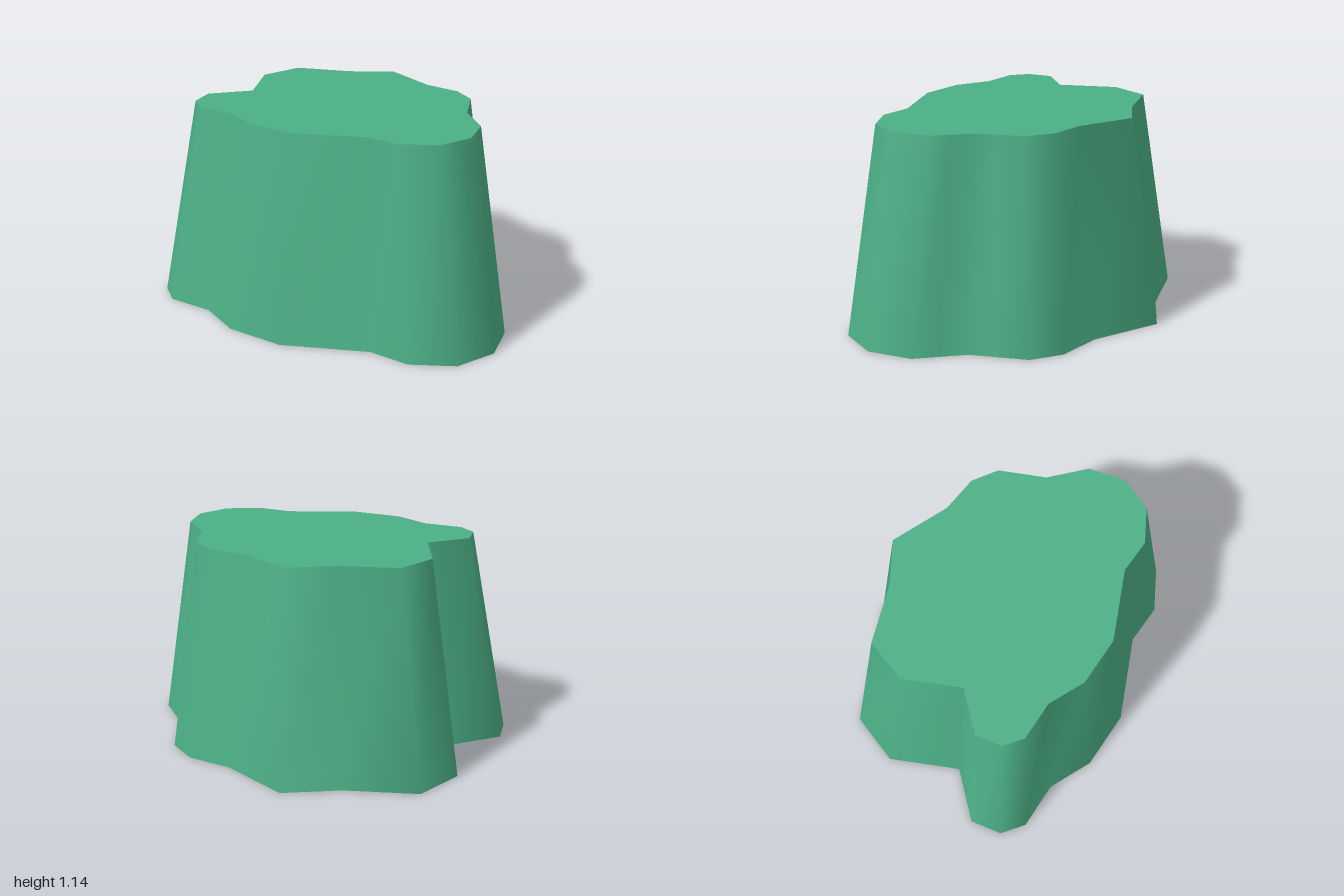
import * as THREE from 'three';
import { toCreasedNormals } from 'three/addons/utils/BufferGeometryUtils.js';

const HEIGHT = 1.14;
const TOP_SCALE = 0.8;

// Irregular footprint (x, z), running from the front around by the left side
const OUTLINE = [
  [-0.19, 0.775], [0.135, 0.71], [0.535, 0.425], [0.765, 0.385], [0.955, 0.22], [1.0, -0.02],
  [0.89, -0.245], [0.77, -0.32], [0.64, -0.4], [0.56, -0.51], [0.45, -0.66], [0.27, -0.73],
  [0.02, -0.7], [-0.39, -0.78], [-0.625, -0.56], [-0.965, -0.355], [-1.0, -0.055],
  [-0.755, 0.27], [-0.915, 0.54], [-0.845, 0.705], [-0.71, 0.77], [-0.45, 0.715],
];

export function createModel() {
  const group = new THREE.Group();
  group.name = 'taperedMound';

  const green = new THREE.MeshStandardMaterial({ color: 0x4cb086 });
  green.name = 'green';

  // Closed cylinder whose rim vertices are moved onto the footprint
  const n = OUTLINE.length;
  const geometry = new THREE.CylinderGeometry(1, 1, HEIGHT, n, 1);
  const pos = geometry.attributes.position;
  for (let i = 0; i < pos.count; i++) {
    const x = pos.getX(i), y = pos.getY(i), z = pos.getZ(i);
    if (Math.hypot(x, z) < 0.5) continue; // cap centres stay put
    const k = Math.round((Math.atan2(x, z) / (2 * Math.PI)) * n);
    const [px, pz] = OUTLINE[(k + n) % n];
    const s = y > 0 ? TOP_SCALE : 1;
    pos.setXYZ(i, px * s, y, pz * s);
  }
  geometry.translate(0, HEIGHT / 2, 0);

  // Rounded walls, sharp rims and notch
  const mound = new THREE.Mesh(toCreasedNormals(geometry, Math.PI / 3), green);
  mound.name = 'mound';
  group.add(mound);
  return group;
}
